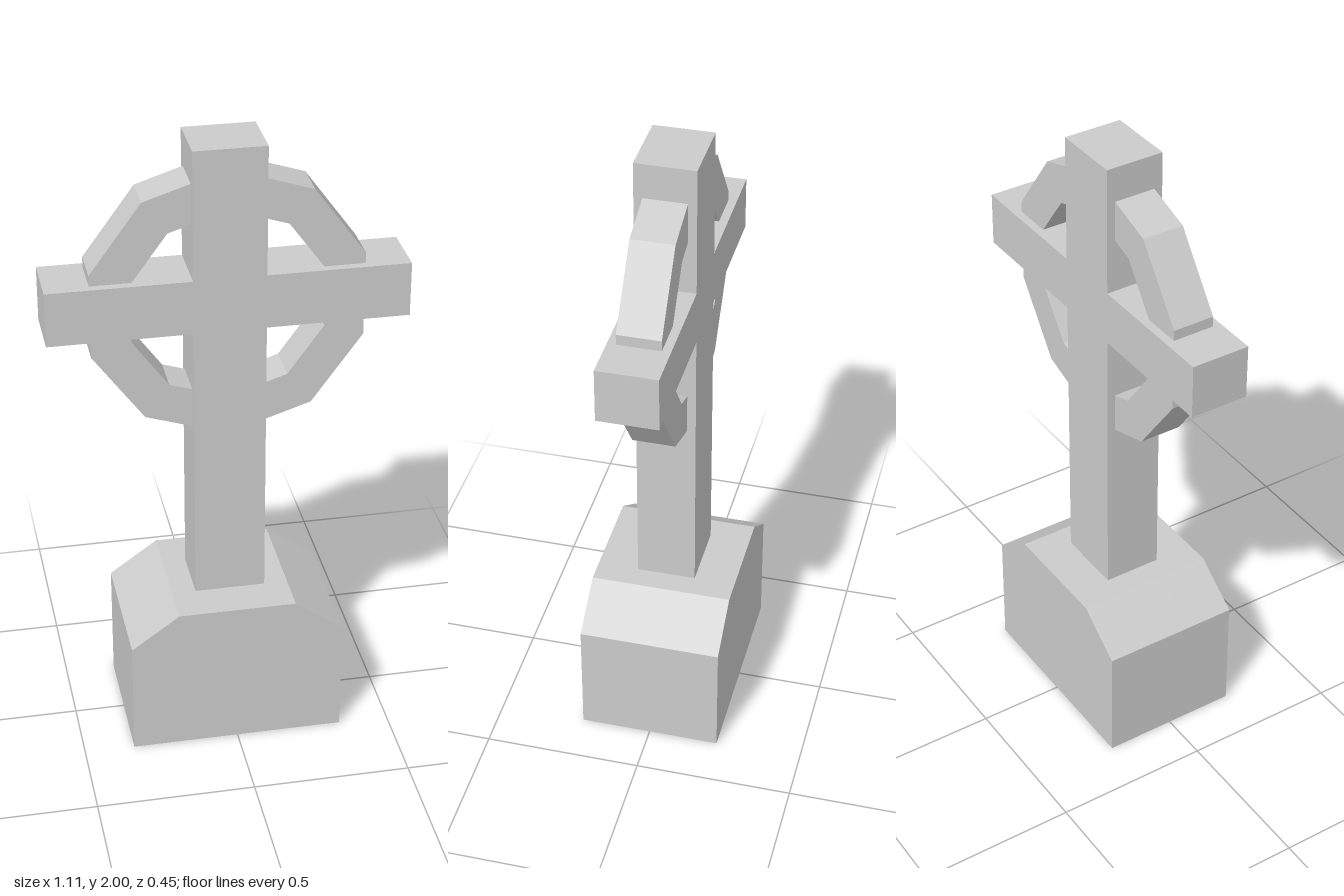
import * as THREE from 'three';

const material = new THREE.MeshStandardMaterial({ color: 0xcccccc, flatShading: true });

// Extrude a flat outline, centred on z = 0
function slab(name, shape, depth) {
  const geometry = new THREE.ExtrudeGeometry(shape, { depth, bevelEnabled: false });
  geometry.translate(0, 0, -depth / 2);
  const mesh = new THREE.Mesh(geometry, material);
  mesh.name = name;
  return mesh;
}

// Close a right-hand outline (bottom to top) by mirroring it to the left
function mirrored(right) {
  const left = right.map(([x, y]) => [-x, y]).reverse();
  return new THREE.Shape([...right, ...left].map(([x, y]) => new THREE.Vector2(x, y)));
}

// Ten-sided outline with flat sides facing left and right
function decagon(radius, cy) {
  return Array.from({ length: 10 }, (_, i) => {
    const a = ((18 + 36 * i) * Math.PI) / 180;
    return new THREE.Vector2(radius * Math.cos(a), cy + radius * Math.sin(a));
  });
}

export function createModel() {
  const model = new THREE.Group();
  model.name = 'stoneCross';

  // Plinth with sloped shoulders at left and right
  model.add(slab('base', mirrored([[0.34, 0], [0.34, 0.38], [0.187, 0.49]]), 0.45));

  // Upright and arms in one piece, standing on the plinth
  model.add(slab('cross', mirrored([
    [0.112, 0.49], [0.112, 1.413], [0.555, 1.413],
    [0.555, 1.587], [0.112, 1.587], [0.112, 2],
  ]), 0.188));

  // Ring passing through the cross
  const ring = new THREE.Shape(decagon(0.44, 1.485));
  ring.holes.push(new THREE.Path(decagon(0.311, 1.485)));
  model.add(slab('ring', ring, 0.134));

  return model;
}
